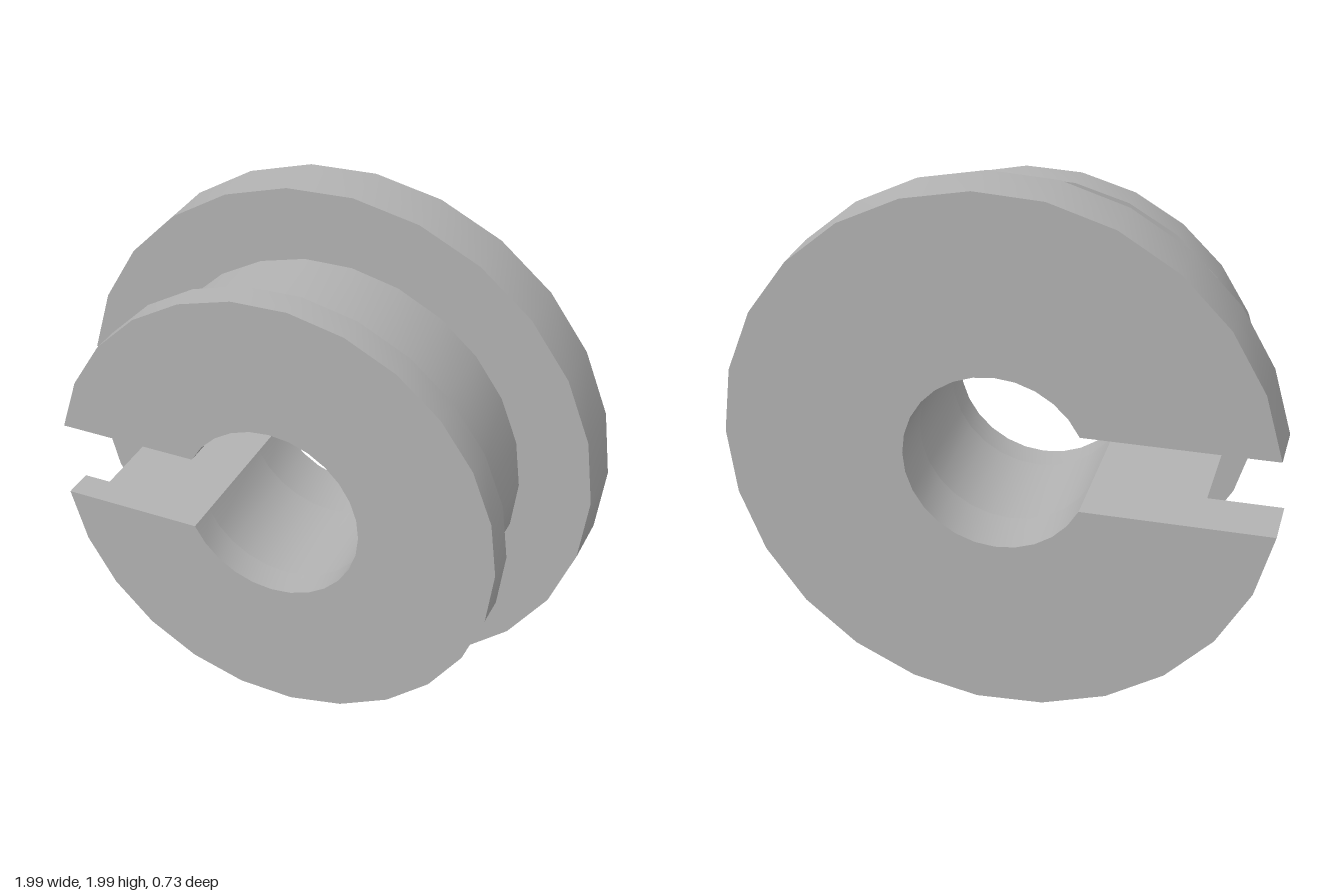
import * as THREE from 'three';
import { toCreasedNormals } from 'three/addons/utils/BufferGeometryUtils.js';

const BORE = 0.335;      // radius of the central hole
const HALF_SLOT = 0.146; // half the height of the side slot
const STEPS = 24;        // facets per arc

// Ring cross-section, open towards -x
function slottedRing(radius) {
  const points = [];
  const addArc = (r, direction) => {
    const end = Math.PI - Math.asin(HALF_SLOT / r);
    for (let i = 0; i <= STEPS; i++) {
      const a = direction * end * (2 * i / STEPS - 1);
      points.push(new THREE.Vector2(r * Math.cos(a), r * Math.sin(a)));
    }
  };
  addArc(radius, 1);
  addArc(BORE, -1);
  return new THREE.Shape(points);
}

export function createModel() {
  const model = new THREE.Group();
  model.name = 'slottedBushing';
  const grey = new THREE.MeshStandardMaterial({ color: 0xb2b2b2 });
  grey.name = 'grey';

  // Name, outer radius, back z, front z
  const parts = [
    ['backFlange', 1, -0.366, -0.16],
    ['core', 0.733, -0.16, 0.254],
    ['frontFlange', 0.833, 0.254, 0.366],
  ];
  for (const [name, radius, back, front] of parts) {
    const solid = new THREE.ExtrudeGeometry(slottedRing(radius), {
      depth: front - back, bevelEnabled: false,
    });
    // Smooth around the arcs, sharp at the rims and slot
    const mesh = new THREE.Mesh(toCreasedNormals(solid, 0.5), grey);
    mesh.name = name;
    mesh.position.set(-0.005, 1, back);
    model.add(mesh);
  }
  return model;
}
